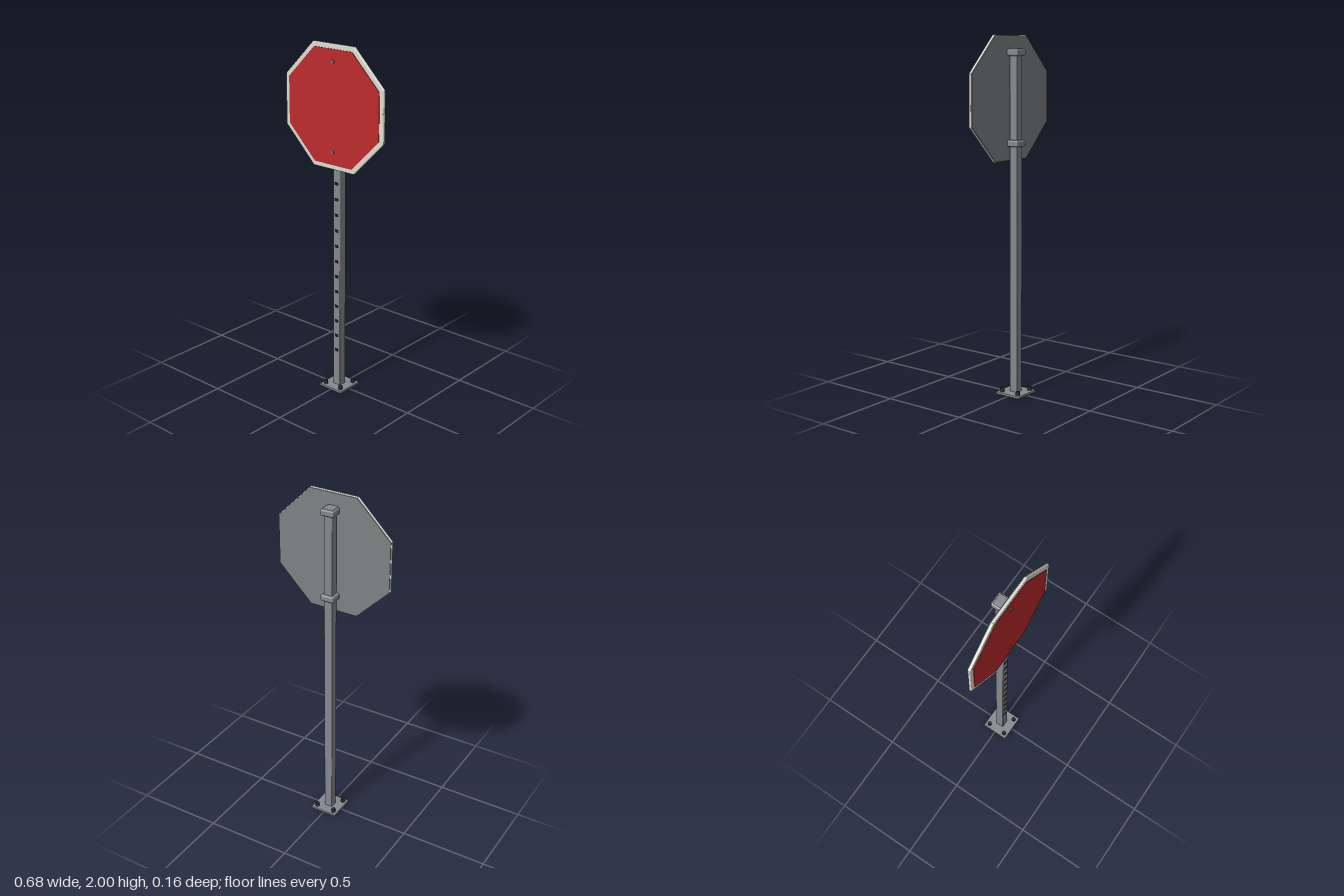
import * as THREE from 'three';
import { RoundedBoxGeometry } from 'three/addons/geometries/RoundedBoxGeometry.js';

const mat = (name, color) => {
  const m = new THREE.MeshStandardMaterial({ color });
  m.name = name;
  return m;
};

export function createModel() {
  const steel = mat('galvanised steel', 0x85898d);
  const white = mat('off-white border', 0xdcddd2);
  const red = mat('sign red', 0xbe2a2e);
  const backGrey = mat('back grey', 0x7f8284);
  const dark = mat('dark bolt', 0x2a2c2f);
  const holeBlack = mat('hole black', 0x1e2023);
  const boltGrey = mat('sign bolt grey', 0x6b7074);

  const group = new THREE.Group();
  const add = (name, geometry, material, x, y, z) => {
    const mesh = new THREE.Mesh(geometry, material);
    mesh.name = name;
    mesh.position.set(x, y, z);
    group.add(mesh);
    return mesh;
  };

  // Octagonal slab from z = 0 to depth, measured across its flats
  const octagon = (apothem, depth, bevel) => {
    const r = (apothem - bevel) / Math.cos(Math.PI / 8);
    const points = [];
    for (let i = 0; i < 8; i++) {
      const a = (i + 0.5) * Math.PI / 4;
      points.push(new THREE.Vector2(r * Math.cos(a), r * Math.sin(a)));
    }
    const geometry = new THREE.ExtrudeGeometry(new THREE.Shape(points), {
      depth: depth - 2 * bevel, bevelEnabled: bevel > 0,
      bevelSize: bevel, bevelThickness: bevel, bevelSegments: 3,
    });
    return geometry.translate(0, 0, bevel);
  };

  // Base plate with four anchor bolts
  add('basePlate', new RoundedBoxGeometry(0.162, 0.014, 0.162, 2, 0.003), steel, 0, 0.007, 0);
  for (const x of [-0.055, 0.055]) {
    for (const z of [-0.055, 0.055]) {
      add('anchorBolt', new THREE.CylinderGeometry(0.011, 0.0125, 0.022, 12), dark, x, 0.024, z);
    }
  }

  // Square post and its cap
  add('post', new RoundedBoxGeometry(0.05, 1.908, 0.05, 2, 0.005), steel, 0, 0.964, 0);
  add('postCap', new RoundedBoxGeometry(0.06, 0.022, 0.06, 2, 0.005), steel, 0, 1.919, 0);

  // Punched holes up the front of the post
  for (let i = 0; i < 12; i++) {
    add('postHole', new THREE.BoxGeometry(0.02, 0.016, 0.006), holeBlack, 0, 0.235 + i * 0.0909, 0.0245);
  }

  // Sign: backing sheet, rounded border and red face
  const signY = 1.66;
  add('signBack', octagon(0.336, 0.005, 0), backGrey, 0, signY, 0.031);
  add('signBorder', octagon(0.34, 0.016, 0.005), white, 0, signY, 0.035);
  add('signFace', octagon(0.313, 0.004, 0), red, 0, signY, 0.05);

  // Clamps around the post, each with a bolt through the sign
  for (const y of [1.418, 1.907]) {
    add('clamp', new RoundedBoxGeometry(0.08, 0.036, 0.072, 3, 0.009), steel, 0, y, -0.003);
    const bolt = add('signBolt', new THREE.CylinderGeometry(0.011, 0.011, 0.008, 12), boltGrey, 0, y, 0.055);
    bolt.rotation.x = Math.PI / 2;
  }

  return group;
}
